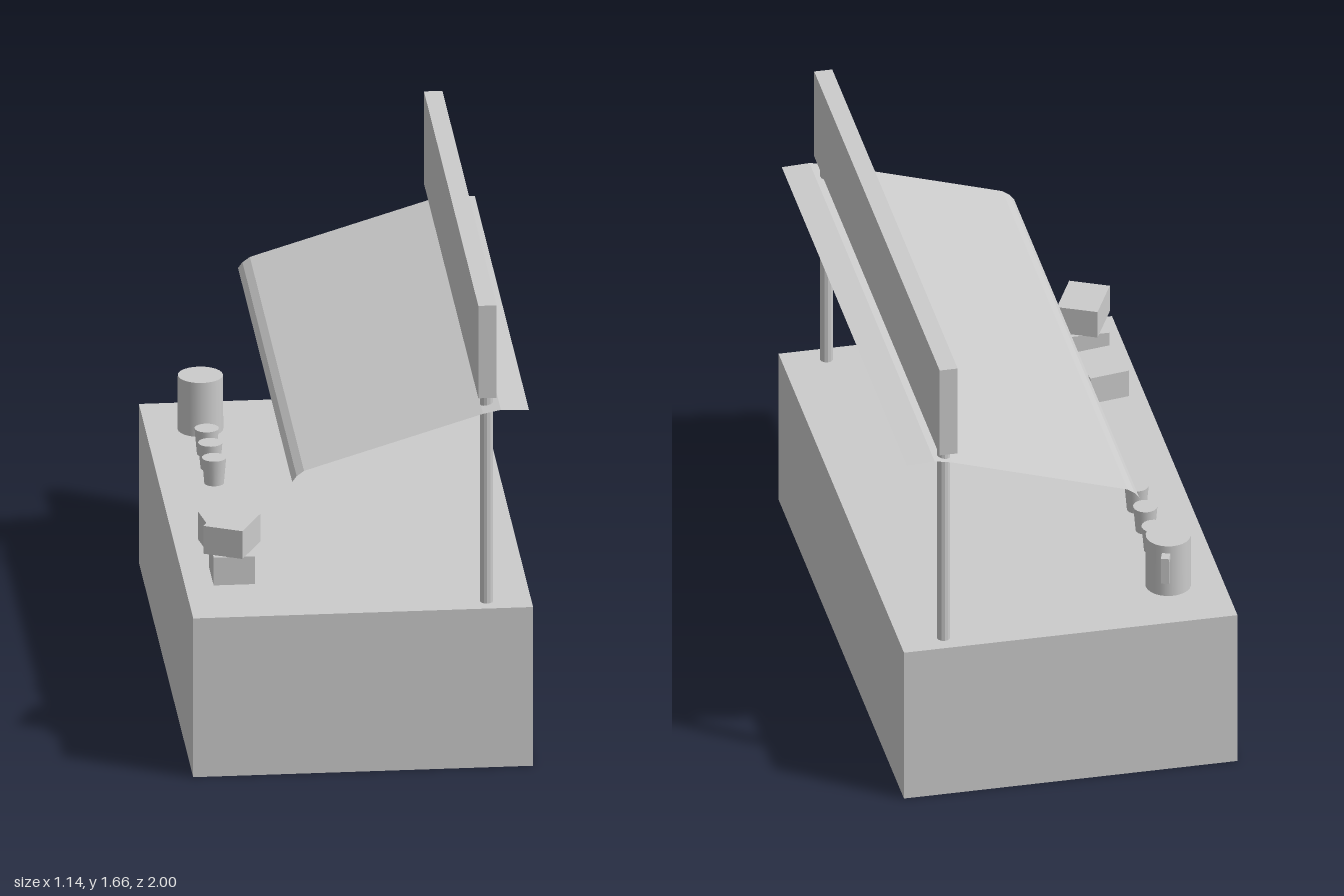
import * as THREE from 'three';

export function createModel() {
  const model = new THREE.Group();
  model.name = 'marketStall';
  const flat = new THREE.MeshStandardMaterial({ color: 0xcccccc, flatShading: true });
  const smooth = new THREE.MeshStandardMaterial({ color: 0xcccccc });
  const sheet = new THREE.MeshStandardMaterial({ color: 0xcccccc, flatShading: true, side: THREE.DoubleSide });

  function add(name, geometry, material, x, y, z, parent = model) {
    const mesh = new THREE.Mesh(geometry, material);
    mesh.name = name;
    mesh.position.set(x, y, z);
    parent.add(mesh);
    return mesh;
  }

  // Counter: a box with no underside (its bottom face is dropped from the index)
  const counter = new THREE.BoxGeometry(1.145, 0.572, 1.98);
  const index = Array.from(counter.index.array);
  index.splice(18, 6);
  counter.setIndex(index);
  counter.clearGroups();
  add('counter', counter, sheet, -0.002, 0.286, -0.01);

  // Posts and the sign board they carry
  for (const z of [0.912, -0.932]) {
    add('post', new THREE.CylinderGeometry(0.022, 0.022, 0.76, 12), flat, 0.42, 0.952, z);
  }
  add('signBoard', new THREE.BoxGeometry(0.062, 0.333, 1.98), flat, 0.417, 1.497, -0.01);

  // Awning: a thin sheet swept along z, with a curled lip at the low edge
  const profile = [
    [-0.243, 1.06], [-0.228, 1.08], [-0.203, 1.098], [-0.165, 1.11],
    [0.4, 1.282], [0.46, 1.294], [0.555, 1.29],
  ];
  const awning = new THREE.PlaneGeometry(1, 1, profile.length - 1, 1);
  const pos = awning.attributes.position;
  for (let i = 0; i < pos.count; i++) {
    const [x, y] = profile[i % profile.length];
    pos.setXYZ(i, x, y, i < profile.length ? -0.975 : 1);
  }
  awning.computeVertexNormals();
  add('awning', awning, sheet, 0, 0, 0);

  // Goods boxes: [y, z, turn]
  for (const [y, z, turn] of [[0.672, 0.457, 0.165], [0.672, 0.723, 0], [0.772, 0.722, -0.45]]) {
    add('goodsBox', new THREE.BoxGeometry(0.14, 0.1, 0.176), flat, -0.42, y, z).rotation.y = turn;
  }

  // Tapered cups
  for (const z of [-0.255, -0.393, -0.525]) {
    add('cup', new THREE.CylinderGeometry(0.041, 0.033, 0.092, 20), smooth, -0.39, 0.618, z);
  }

  // Jug with an angular handle
  const jug = new THREE.Group();
  jug.name = 'jug';
  jug.position.set(-0.39, 0.572, -0.755);
  jug.rotation.y = -0.31;
  model.add(jug);
  add('jugBody', new THREE.CylinderGeometry(0.076, 0.077, 0.194, 24), smooth, 0, 0.097, 0, jug);
  add('jugHandleTop', new THREE.BoxGeometry(0.028, 0.024, 0.045), flat, 0, 0.155, -0.091, jug);
  add('jugHandleGrip', new THREE.BoxGeometry(0.028, 0.097, 0.02), flat, 0, 0.1185, -0.1035, jug);

  return model;
}
